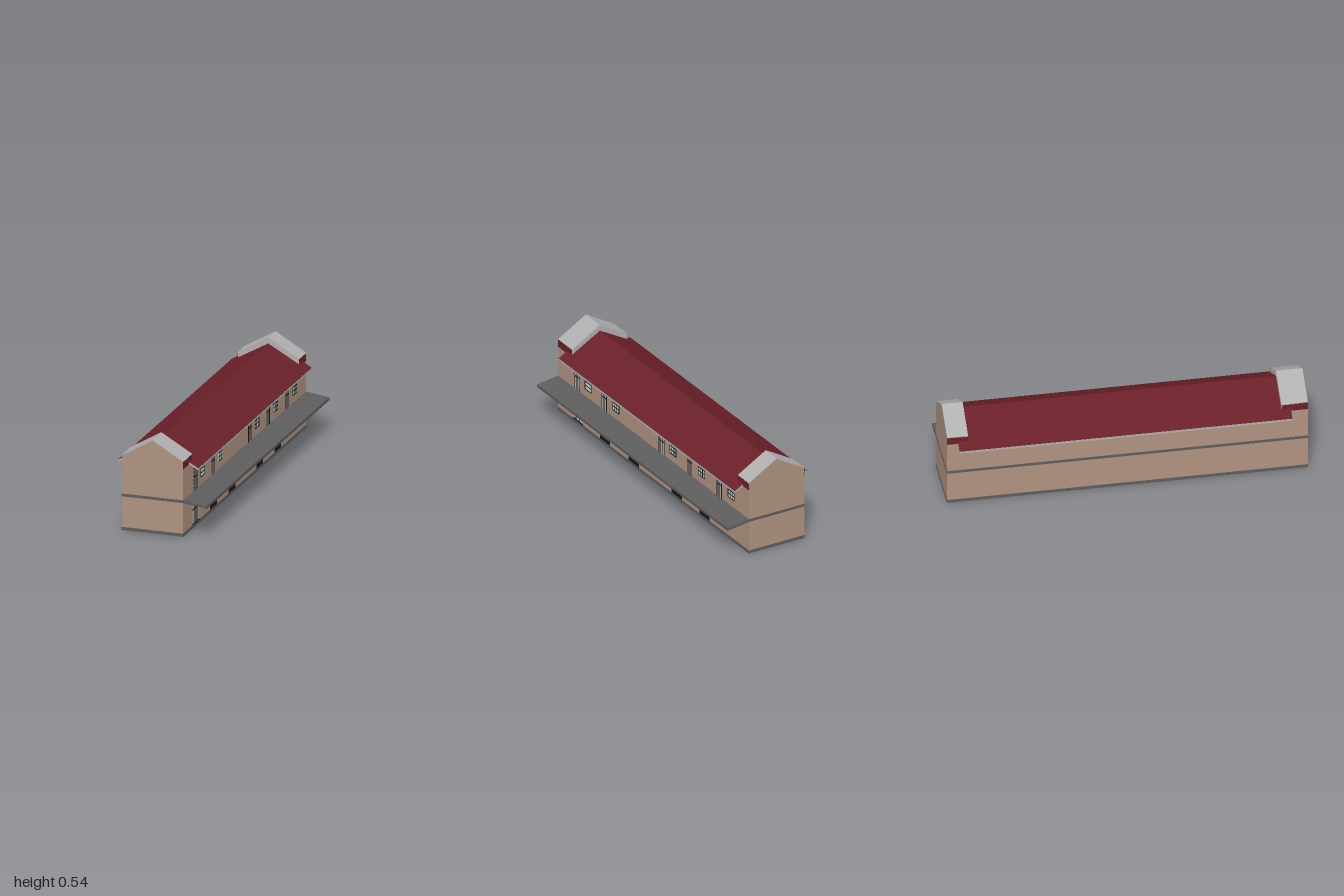
import * as THREE from 'three';

const mat = (color) => new THREE.MeshStandardMaterial({ color, flatShading: true, side: THREE.DoubleSide });
const TAN = mat(0xb09380), DARK = mat(0x5d5d5d), RED = mat(0x6b2029), LIGHT = mat(0xb0b0b0);
const GLASS = mat(0xbcdcd4), BLACK = mat(0x181818);

const XL = -0.22, XR = 0.134, XM = -0.043;   // side walls and ridge
const EAVE_L = -0.274, EAVE_R = 0.188;       // roof overhangs

function box(parent, name, x0, x1, y0, y1, z0, z1, material) {
  const m = new THREE.Mesh(new THREE.BoxGeometry(x1 - x0, y1 - y0, z1 - z0), material);
  m.position.set((x0 + x1) / 2, (y0 + y1) / 2, (z0 + z1) / 2);
  m.name = name;
  parent.add(m);
  return m;
}

// Outline in x,y drawn out along z
function prism(parent, name, pts, z0, z1, material) {
  const shape = new THREE.Shape(pts.map(([x, y]) => new THREE.Vector2(x, y)));
  const g = new THREE.ExtrudeGeometry(shape, { depth: z1 - z0, bevelEnabled: false });
  const m = new THREE.Mesh(g, material);
  m.position.z = z0;
  m.name = name;
  parent.add(m);
  return m;
}

// Two-slope strip: left eave, ridge, right eave, with vertical thickness t
const chevron = (xl, xr, yEave, yRidge, t) => [
  [xl, yEave], [xl, yEave - t], [XM, yRidge - t], [xr, yEave - t], [xr, yEave], [XM, yRidge],
];

// Panel on the right wall with proud bars; vertical and horizontal are bar positions 0..1
function opening(parent, name, z0, z1, y0, y1, panel, vertical, horizontal, bar = 0.006) {
  const g = new THREE.Group();
  g.name = name;
  box(g, 'panel', XR - 0.002, XR + 0.001, y0, y1, z0, z1, panel);
  for (const v of vertical) {
    const z = z0 + bar / 2 + v * (z1 - z0 - bar);
    box(g, 'uprightBar', XR, XR + 0.002, y0, y1, z - bar / 2, z + bar / 2, BLACK);
  }
  for (const h of horizontal) {
    const y = y0 + bar / 2 + h * (y1 - y0 - bar);
    box(g, 'crossBar', XR, XR + 0.002, y - bar / 2, y + bar / 2, z0, z1, BLACK);
  }
  parent.add(g);
}

export function createModel() {
  const root = new THREE.Group();
  root.name = 'terraceBuilding';

  // Long walls, open underneath between the end blocks
  const walls = new THREE.Group();
  walls.name = 'walls';
  root.add(walls);
  box(walls, 'rightWall', XR - 0.004, XR, 0, 0.395, -0.9, 0.87, TAN);
  box(walls, 'leftWall', XL, XL + 0.004, 0, 0.395, -0.9, 0.87, TAN);

  // Gabled end blocks with caps and red side panels
  for (const [name, z0, z1, inner] of [['frontEnd', 0.855, 1, 0.855], ['backEnd', -1, -0.885, -0.885]]) {
    const end = new THREE.Group();
    end.name = name;
    root.add(end);
    prism(end, 'gableBlock', [[XL, 0], [XR, 0], [XR, 0.43], [XM, 0.533], [XL, 0.43]], z0, z1, TAN);
    prism(end, 'gableCap', chevron(XL - 0.001, XR + 0.001, 0.433, 0.537, 0.005), z0, z1, LIGHT);
    const s = Math.sign(inner);
    const a = inner - s * 0.002;
    prism(end, 'innerGable', [[XL, 0.4], [XR, 0.4], [XR, 0.43], [XM, 0.534], [XL, 0.43]],
      Math.min(a, inner), Math.max(a, inner), LIGHT);
    box(end, 'rightPanel', XR - 0.001, XR + 0.001, 0.387, 0.432, z0, z1, RED);
    box(end, 'leftPanel', XL - 0.001, XL + 0.001, 0.387, 0.432, z0, z1, RED);
  }

  // Main roof: red covering over a pale deck
  const roof = new THREE.Group();
  roof.name = 'roof';
  root.add(roof);
  prism(roof, 'roofDeck', chevron(EAVE_L, EAVE_R, 0.37, 0.501, 0.0125), -0.94, 0.905, LIGHT);
  prism(roof, 'roofCovering', chevron(EAVE_L, EAVE_R, 0.3718, 0.5028, 0.0016), -0.94, 0.905, RED);

  // Base and storey bands around all four sides
  for (const [name, y0, y1] of [['baseBand', 0, 0.018], ['storeyBand', 0.194, 0.21]]) {
    const band = new THREE.Group();
    band.name = name;
    root.add(band);
    box(band, 'rightBand', XR - 0.006, XR + 0.0015, y0, y1, -1, 1, DARK);
    box(band, 'leftBand', XL - 0.0015, XL + 0.006, y0, y1, -1, 1, DARK);
    box(band, 'frontBand', XL - 0.0015, XR + 0.0015, y0, y1, 0.99, 1.001, DARK);
    box(band, 'backBand', XL - 0.0015, XR + 0.0015, y0, y1, -1.001, -0.99, DARK);
  }
  box(root, 'frontBaseSlab', XL, XR, -0.0005, 0.018, 0.855, 1, DARK);

  // Sloping canopy along the right side
  prism(root, 'canopy', [[XR, 0.194], [0.27, 0.175], [0.27, 0.191], [XR, 0.21]], -1, 1, DARK);

  // Ground floor doors and windows
  const openings = new THREE.Group();
  openings.name = 'openings';
  root.add(openings);
  opening(openings, 'entranceDoor', 0.74, 0.848, 0.018, 0.178, LIGHT, [0.34, 0.66], [0, 0.55], 0.007);
  for (const [z0, z1] of [[0.457, 0.559], [0.152, 0.259], [-0.298, -0.191], [-0.588, -0.486]])
    opening(openings, 'shutterDoor', z0, z1, 0.018, 0.178, BLACK, [0, 0.25, 0.5, 0.75, 1], []);
  for (const [z0, z1] of [[0.612, 0.682], [0.323, 0.393], [0, 0.1], [-0.17, -0.065],
    [-0.464, -0.352], [-0.754, -0.646]])
    opening(openings, 'lowerWindow', z0, z1, 0.062, 0.15, GLASS,
      z0 === 0.323 || z0 === -0.754 ? [0, 0.5, 1] : [0, 1], [0, 0.5, 0.76, 1], 0.005);

  // Upper floor doors and windows
  for (const [z0, z1] of [[0.773, 0.826], [0.489, 0.543], [-0.116, -0.057], [-0.405, -0.352], [-0.716, -0.663]])
    opening(openings, 'upperDoor', z0, z1, 0.21, 0.36, LIGHT, [0, 0.36, 0.68, 1], [0.52]);
  for (const [z0, z1, grid] of [[0.65, 0.719, 0], [0.36, 0.43, 1], [-0.24, -0.17, 1], [-0.54, -0.467, 1],
    [-0.85, -0.78, 1]])
    opening(openings, 'upperWindow', z0, z1, 0.252, 0.35, GLASS,
      grid ? [0, 0.33, 0.67, 1] : [0, 1], [0, 0.25, 0.5, 0.75, 1], 0.005);

  return root;
}
